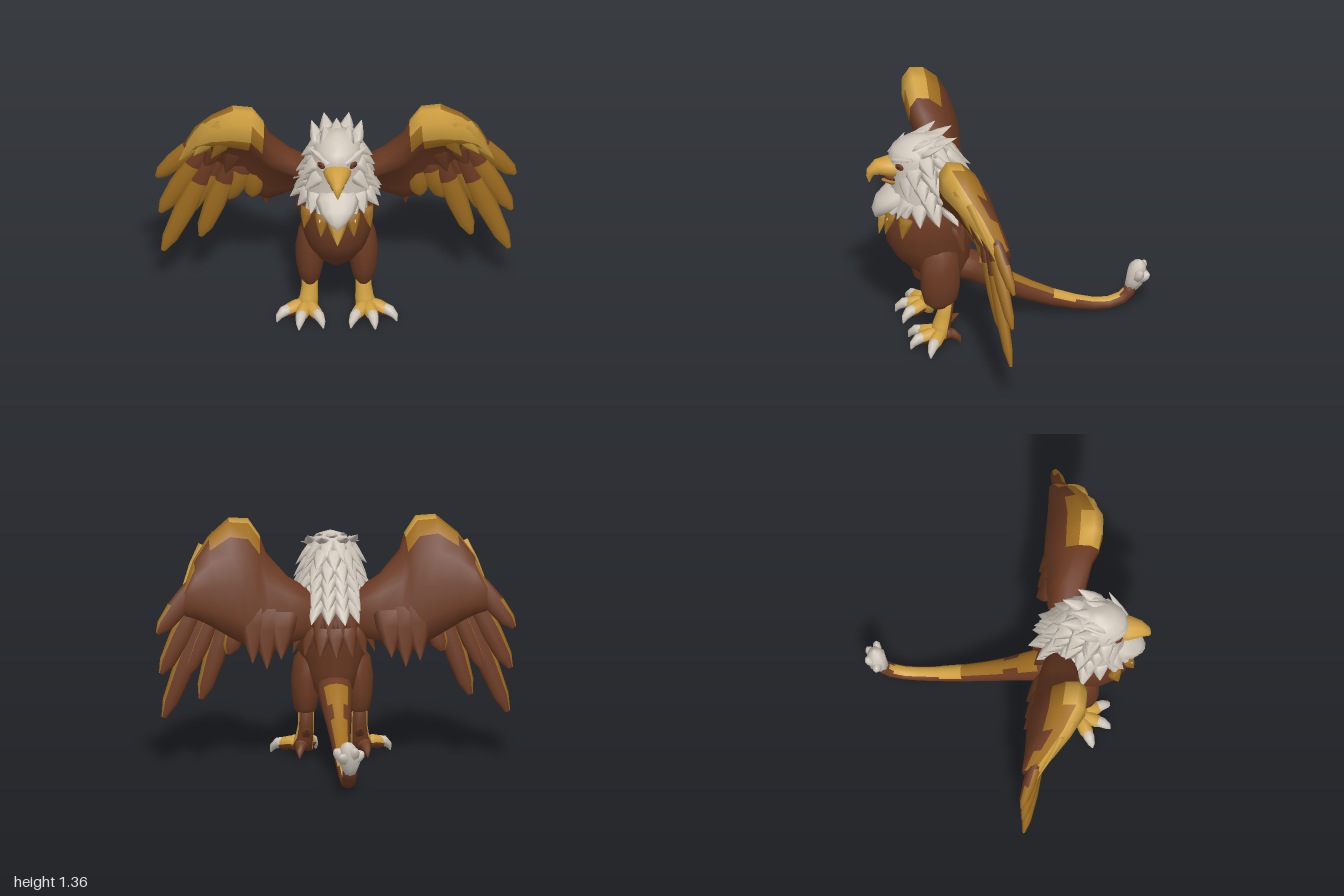
import * as THREE from 'three';

const mat = (name, color) => Object.assign(new THREE.MeshStandardMaterial({ color }), { name });
const V = (x, y, z) => new THREE.Vector3(x, y, z);
const BROWN = 0, GOLD = 1, OCHRE = 2, WHITE = 3, DARK = 4;
// Feather outlines: [position along length, relative width]
const SPIKE = [[0, 1], [0.35, 0.85], [0.7, 0.45], [1, 0.03]];
const BLADE = [[0, 0.6], [0.3, 0.95], [0.6, 1], [0.87, 0.75], [1, 0.25]];

export function createModel() {
  const mats = [mat('brown', 0x6b3a22), mat('gold', 0xd0a040), mat('ochre', 0xa06e20),
    mat('white', 0xcfc6ba), mat('darkBrown', 0x3a1d12)];
  const root = new THREE.Group();
  root.name = 'griffin';
  const group = (name) => {
    const g = new THREE.Group();
    g.name = name;
    root.add(g);
    return g;
  };

  // Closed skin over a row of rings; pick(normal, centre, i, j) chooses the colour of each quad
  function loft(parent, name, rings, pick) {
    const n = rings[0].length, m = rings.length, pts = rings.flat(), faces = [];
    const mean = (r) => r.reduce((s, p) => s.add(p), V(0, 0, 0)).divideScalar(n);
    const c0 = pts.push(mean(rings[0])) - 1, c1 = pts.push(mean(rings[m - 1])) - 1;
    for (let j = 0; j < n; j++) {
      const k = (j + 1) % n, e = (m - 1) * n;
      faces.push({ i: 0, j, t: [[c0, k, j]] }, { i: m - 2, j, t: [[c1, e + j, e + k]] });
      for (let i = 0; i < m - 1; i++) {
        const a = i * n + j, b = i * n + k;
        faces.push({ i, j, t: [[a, b, b + n], [a, b + n, a + n]] });
      }
    }
    let vol = 0;
    for (const f of faces) for (const [a, b, c] of f.t)
      vol += pts[a].clone().sub(pts[c0]).dot(V(0, 0, 0).crossVectors(pts[b].clone().sub(pts[c0]), pts[c].clone().sub(pts[c0])));
    const lists = mats.map(() => []);
    for (const f of faces) {
      const nrm = V(0, 0, 0), mid = V(0, 0, 0);
      for (const t of f.t) {
        if (vol < 0) t.reverse();
        const [a, b, c] = t.map((q) => pts[q]);
        nrm.add(V(0, 0, 0).crossVectors(b.clone().sub(a), c.clone().sub(a)));
        mid.add(a).add(b).add(c);
      }
      const id = typeof pick === 'number' ? pick : pick(nrm.normalize(), mid.divideScalar(3 * f.t.length), f.i, f.j);
      lists[id].push(...f.t.flat());
    }
    const geo = new THREE.BufferGeometry().setFromPoints(pts);
    geo.setIndex(lists.flat());
    let start = 0;
    const used = [];
    lists.forEach((l, id) => {
      if (!l.length) return;
      geo.addGroup(start, l.length, used.length);
      used.push(mats[id]);
      start += l.length;
    });
    geo.computeVertexNormals();
    const mesh = new THREE.Mesh(geo, used.length > 1 ? used : used[0]);
    mesh.name = name;
    parent.add(mesh);
  }

  // Loft along a path of [x, y, z, sideRadius, otherRadius]
  function limb(parent, name, path, pick, side = V(1, 0, 0), n = 10) {
    const P = path.map((p) => V(p[0], p[1], p[2]));
    const rings = path.map((p, i) => {
      const t = P[Math.min(i + 1, P.length - 1)].clone().sub(P[Math.max(i - 1, 0)]).normalize();
      const a = side.clone().addScaledVector(t, -side.dot(t)).normalize();
      const b = t.clone().cross(a);
      return Array.from({ length: n }, (_, j) => {
        const w = (j / n) * Math.PI * 2;
        return P[i].clone().addScaledVector(a, Math.cos(w) * p[3]).addScaledVector(b, Math.sin(w) * (p[4] ?? p[3]));
      });
    });
    loft(parent, name, rings, pick);
  }

  // Feather from base to tip, flattened along the given normal
  function feather(parent, name, outline, base, tip, w, pick, normal = V(0, 0, 1), thick = 0.4, n = 6) {
    const d = tip.clone().sub(base);
    const side = d.clone().cross(normal).normalize();
    const path = outline.map(([t, k]) => {
      const p = base.clone().addScaledVector(d, t);
      return [p.x, p.y, p.z, w * k, w * k * thick];
    });
    limb(parent, name, path, pick, side, n);
  }

  // Profiles are [y, zCentre, xRadius, zRadius]
  const ovals = (prof, n) => prof.map(([y, z, rx, rz]) => Array.from({ length: n }, (_, j) => {
    const a = (j / n) * Math.PI * 2;
    return V(rx * Math.sin(a), y, z + rz * Math.cos(a));
  }));
  const onProfile = (prof, y, a) => {
    let i = 0;
    while (i < prof.length - 2 && prof[i + 1][0] < y) i++;
    const t = (y - prof[i][0]) / (prof[i + 1][0] - prof[i][0]);
    const [, z, rx, rz] = prof[i].map((v, k) => v + (prof[i + 1][k] - v) * t);
    return V(rx * Math.sin(a), y, z + rz * Math.cos(a));
  };

  // Torso
  const torso = [[0.32, 0.34, 0.05, 0.07], [0.4, 0.37, 0.12, 0.15], [0.5, 0.42, 0.165, 0.21], [0.6, 0.44, 0.195, 0.245],
    [0.7, 0.44, 0.21, 0.255], [0.8, 0.435, 0.215, 0.25], [0.9, 0.44, 0.18, 0.21], [1.0, 0.45, 0.13, 0.15]];
  loft(root, 'torso', ovals(torso, 16), BROWN);

  // Brown feathers over the upper back
  const backFeathers = group('backFeathers');
  [[0.87, 8], [0.76, 7]].forEach(([y, count]) => {
    for (let k = 0; k < count; k++) {
      const a = Math.PI + ((k + 0.5) / count - 0.5) * 2.5;
      const p = onProfile(torso, y, a), out = V(Math.sin(a), 0, Math.cos(a));
      feather(backFeathers, 'backFeather', SPIKE, p.clone().addScaledVector(out, -0.01),
        p.clone().addScaledVector(out, 0.05).add(V(0, -0.15, 0)), 0.055, BROWN, out);
    }
  });

  // Gold feathers under the ruff
  const bibGold = group('chestFeathers');
  [[0, 0.65, 0.06], [0.08, 0.7, 0.045], [-0.08, 0.7, 0.045], [0.16, 0.71, 0.045], [-0.16, 0.71, 0.045]].forEach(([x, y, w]) => {
    const a = Math.asin(x / 0.215), out = V(Math.sin(a), 0, Math.cos(a)), p = onProfile(torso, 0.83, a);
    const tip = onProfile(torso, y, a).addScaledVector(out, 0.04);
    feather(bibGold, 'chestFeather', SPIKE, p.addScaledVector(out, 0.025), tip, w, x ? OCHRE : GOLD, out, 0.5);
  });

  // Head and ruff
  const head = group('head');
  const skull = [[0.84, 0.44, 0.185, 0.22], [0.9, 0.44, 0.195, 0.23], [1.0, 0.45, 0.175, 0.205], [1.08, 0.475, 0.15, 0.2],
    [1.15, 0.49, 0.14, 0.185], [1.2, 0.5, 0.12, 0.155], [1.24, 0.5, 0.08, 0.1], [1.262, 0.5, 0.02, 0.03]];
  loft(head, 'skull', ovals(skull, 18), WHITE);
  limb(head, 'throatRuff', [[0, 0.95, 0.56, 0.1, 0.06], [0, 0.89, 0.65, 0.12, 0.06], [0, 0.845, 0.705, 0.095, 0.058], [0, 0.8, 0.735, 0.05, 0.04], [0, 0.765, 0.745, 0.01, 0.01]], WHITE);
  for (const [x, y, z] of [[0.1, 0.79, 0.71], [-0.1, 0.79, 0.71], [0.15, 0.82, 0.66], [-0.15, 0.82, 0.66]])
    feather(head, 'throatFeather', SPIKE, V(x * 0.8, 0.92, 0.6), V(x, y, z), 0.05, WHITE, V(x * 2, 0, 0.8).normalize(), 0.5);
  const rows = [[0.9, 17, 0.13], [0.97, 16, 0.13], [1.04, 15, 0.12], [1.11, 14, 0.12], [1.17, 12, 0.11], [1.215, 10, 0.1]];
  rows.forEach(([y, count, len], r) => {
    for (let k = 0; k < count; k++) {
      const a = ((k + (r % 2) * 0.5) / count) * Math.PI * 2;
      if (y > 0.95 && Math.cos(a) > 0.5) continue;
      const out = V(Math.sin(a), 0, Math.cos(a)), p = onProfile(skull, y, a);
      const tip = p.clone().addScaledVector(out, 0.052 + 0.016 * (k % 2)).add(V(0, -len * 0.8, -0.03));
      feather(head, 'ruffFeather', SPIKE, p.addScaledVector(out, -0.015), tip, 0.052, WHITE, out, 0.5);
    }
  });
  for (const [x, z] of [[0.05, 0.55], [-0.05, 0.55], [0, 0.48], [0.1, 0.5], [-0.1, 0.5], [0.05, 0.42], [-0.05, 0.42]])
    feather(head, 'crownFeather', SPIKE, V(x, 1.235 - Math.abs(x) * 0.4, z), V(x * 1.4, 1.262, z - 0.12), 0.045, WHITE, V(0, 1, 0), 0.5);

  // Beak, mouth, eyes and brows
  limb(head, 'upperBeak', [[0, 1.085, 0.6, 0.085, 0.068], [0, 1.085, 0.68, 0.074, 0.056], [0, 1.085, 0.74, 0.052, 0.046],
    [0, 1.06, 0.776, 0.03, 0.029], [0, 1.03, 0.785, 0.018, 0.018], [0, 0.995, 0.785, 0.004]], GOLD);
  limb(head, 'mouth', [[0, 1.025, 0.6, 0.08, 0.03], [0, 1.02, 0.67, 0.045, 0.018], [0, 1.018, 0.695, 0.02, 0.01]], BROWN);
  limb(head, 'lowerBeak', [[0, 0.995, 0.6, 0.055, 0.025], [0, 0.99, 0.67, 0.035, 0.018], [0, 1.0, 0.715, 0.008, 0.005]], OCHRE);
  for (const s of [1, -1]) {
    const eyeball = (name, r, m, x, y, z) => {
      const e = new THREE.Mesh(new THREE.SphereGeometry(r, 10, 8), mats[m]);
      e.position.set(x * s, y, z);
      e.rotation.y = 0.75 * s;
      e.scale.set(1.1, 0.8, 0.35);
      e.name = name;
      head.add(e);
    };
    eyeball('eyePatch', 0.026, BROWN, 0.09, 1.122, 0.632);
    eyeball('pupil', 0.008, DARK, 0.096, 1.122, 0.639);
    feather(head, 'brow', SPIKE, V(0.04 * s, 1.148, 0.65), V(0.165 * s, 1.195, 0.55), 0.03, WHITE, V(0, 1, 0.3).normalize(), 0.5);
    feather(head, 'cheekFeather', SPIKE, V(0.1 * s, 1.05, 0.6), V(0.18 * s, 0.94, 0.6), 0.05, WHITE, V(0.7 * s, 0, 0.7), 0.4);
  }

  // Tail with a gold upper stripe, and its tuft
  limb(root, 'tail', [[0, 0.44, 0.33, 0.1, 0.09], [0, 0.385, 0.2, 0.095, 0.085], [0, 0.31, 0.09, 0.08, 0.075], [0, 0.25, 0, 0.066, 0.065],
    [0, 0.185, -0.12, 0.055, 0.058], [0, 0.125, -0.25, 0.048, 0.05], [0, 0.08, -0.38, 0.043, 0.042], [0, 0.053, -0.49, 0.04, 0.036],
    [0, 0.048, -0.58, 0.04, 0.034], [0, 0.07, -0.655, 0.04, 0.036], [0, 0.11, -0.695, 0.04, 0.036], [0, 0.16, -0.715, 0.04, 0.035]],
  (n, c) => (n.y > (c.z < -0.15 && c.z > -0.35 ? 0.5 : 0.66) && c.z < 0.13 && c.z > -0.67 ? (c.z < -0.25 ? GOLD : OCHRE) : BROWN), V(1, 0, 0), 16);
  const tuft = group('tailTuft');
  limb(tuft, 'tuftCore', [[0, 0.135, -0.705, 0.038], [0, 0.18, -0.73, 0.055, 0.052], [0.01, 0.25, -0.742, 0.058, 0.054], [0.02, 0.295, -0.755, 0.035, 0.035], [0.02, 0.31, -0.76, 0.008]], WHITE, V(1, 0, 0), 8);
  for (const [x, y, z] of [[0.09, 0.27, -0.75], [-0.075, 0.25, -0.735], [0.06, 0.24, -0.8], [-0.03, 0.28, -0.795]])
    feather(tuft, 'tuftLock', BLADE, V(0.01, 0.19, -0.73), V(x, y, z), 0.035, WHITE, V(0, 0, 1), 0.8);

  for (const s of [1, -1]) {
    const label = s > 0 ? 'left' : 'right';
    const S = (p) => p.map((q) => [q[0] * s, ...q.slice(1)]);

    // Leg, foot, toes and claws
    const leg = group(label + 'Leg');
    limb(leg, 'thigh', S([[0.11, 0.63, 0.41, 0.05, 0.07], [0.135, 0.55, 0.41, 0.08, 0.105], [0.147, 0.45, 0.41, 0.085, 0.115],
      [0.15, 0.35, 0.41, 0.077, 0.112], [0.15, 0.27, 0.405, 0.062, 0.095], [0.15, 0.235, 0.395, 0.04, 0.06]]), BROWN, V(1, 0, 0), 12);
    limb(leg, 'shin', S([[0.15, 0.27, 0.375, 0.045], [0.15, 0.18, 0.385, 0.045], [0.155, 0.11, 0.405, 0.052], [0.17, 0.05, 0.42, 0.065, 0.05]]),
      (n) => (n.z > -0.4 && n.y > -0.4 ? GOLD : BROWN), V(1, 0, 0), 12);
    feather(leg, 'heelSpur', SPIKE, V(0.15 * s, 0.13, 0.38), V(0.15 * s, 0.17, 0.305), 0.035, BROWN, V(0, 1, 0), 0.9);
    const toes = [[0.105, 0.525], [0.2, 0.535], [0.285, 0.475], [0.18, 0.36]];
    toes.forEach(([x, z], k) => {
      const dx = x - 0.17, dz = z - 0.41, l = Math.hypot(dx, dz), ux = dx / l, uz = dz / l, side = V(uz * s, 0, -ux);
      limb(leg, 'toe', S([[0.17, 0.065, 0.41, 0.042, 0.042], [0.17 + dx * 0.5, 0.07, 0.41 + dz * 0.5, 0.04, 0.04],
        [0.17 + dx * 0.85, 0.06, 0.41 + dz * 0.85, 0.038, 0.038], [x, 0.05, z, 0.028, 0.028]]), k < 3 ? (n) => (n.y > 0.05 ? GOLD : BROWN) : BROWN, side, 8);
      limb(leg, 'claw', S([[x - ux * 0.03, 0.067, z - uz * 0.03, 0.033], [x + ux * 0.015, 0.062, z + uz * 0.015, 0.03],
        [x + ux * 0.045, 0.038, z + uz * 0.045, 0.02], [x + ux * 0.058, 0.006, z + uz * 0.058, 0.004]]), k < 3 ? WHITE : BROWN, side, 8);
    });

    // Wing blade: each station is leading point, trailing point, half thickness
    const wing = group(label + 'Wing');
    const stations = [[0.1, 0.94, 0.36, 0.1, 0.72, 0.26, 0.08], [0.26, 1.04, 0.37, 0.25, 0.69, 0.2, 0.085], [0.375, 1.17, 0.4, 0.38, 0.62, 0.17, 0.09],
      [0.405, 1.26, 0.43, 0.46, 0.65, 0.165, 0.1], [0.47, 1.355, 0.44, 0.53, 0.7, 0.165, 0.11], [0.58, 1.362, 0.435, 0.6, 0.74, 0.165, 0.11],
      [0.7, 1.27, 0.375, 0.7, 0.8, 0.165, 0.085], [0.79, 1.15, 0.3, 0.78, 0.84, 0.165, 0.065], [0.85, 1.0, 0.23, 0.85, 0.86, 0.17, 0.045]];
    const ts = [0, 0.06, 0.2, 0.36, 0.6, 0.85, 1];
    const frontH = [0, 0.6, 1, 0.75, 0.4, 0.2, 0.1], backH = [0, 0.6, 1, 1.1, 1, 0.5, 0.1];
    const rings = stations.map((q) => {
      const L = V(q[0] * s, q[1], q[2]), T = V(q[3] * s, q[4], q[5]);
      const N = T.clone().sub(L).cross(V(1, 0, 0)).normalize();
      return Array.from({ length: 12 }, (_, j) => {
        const k = j <= 6 ? j : 12 - j;
        return L.clone().lerp(T, ts[k]).addScaledVector(N, q[6] * (j <= 6 ? frontH[k] : -backH[k]));
      });
    });
    loft(wing, 'wingBlade', rings, (n, c, i, j) => {
      const front = j < 6, k = front ? j : 11 - j;
      if (i < 3) return BROWN;
      if (front) return k < (i === 3 ? 1 : 2) ? GOLD : k === 1 || (k === 2 && i > 3) || (k === 3 && i > 5) ? OCHRE : BROWN;
      if (k === 0) return i < 5 ? GOLD : OCHRE;
      return (k === 1 && i < 6) || (k < 3 && n.x * s > 0.6) ? OCHRE : BROWN;
    });
    // Long flight feathers, gold in front beyond the brown base
    const twoTone = (n, c, i) => (i > 0 && (n.z > -0.15 || n.x * s > 0.6) ? OCHRE : BROWN);
    const quills = [[0.74, 1.08, 0.25, 1.0, 0.76, 0.165, 0.058], [0.72, 1.03, 0.25, 0.98, 0.53, 0.17, 0.06], [0.68, 0.98, 0.25, 0.965, 0.28, 0.175, 0.06],
      [0.57, 0.95, 0.26, 0.755, 0.38, 0.185, 0.06], [0.64, 0.95, 0.24, 0.83, 0.52, 0.18, 0.05], [0.5, 0.95, 0.27, 0.6, 0.63, 0.19, 0.065],
      [0.44, 0.93, 0.27, 0.47, 0.65, 0.2, 0.06]];
    for (const q of quills) feather(wing, 'flightFeather', BLADE, V(q[0] * s, q[1], q[2]), V(q[3] * s, q[4], q[5]), q[6], twoTone, V(0, 0, 1), 0.62, 8);
    // Brown inner feathers
    for (const [x, y, tx, ty] of [[0.46, 0.9, 0.47, 0.59], [0.39, 0.88, 0.39, 0.555], [0.3, 0.86, 0.31, 0.61]])
      feather(wing, 'innerFeather', SPIKE, V(x * s, y, 0.21), V(tx * s, ty, 0.13), 0.09, BROWN, V(0, 0, 1), 0.4);
    // Short covert feathers along the outer edge and across the front
    for (const [x, y, z, tx, ty, tz, c] of [[0.62, 1.25, 0.42, 0.8, 0.98, 0.3, GOLD], [0.7, 1.2, 0.36, 0.88, 0.91, 0.24, GOLD], [0.58, 1.22, 0.43, 0.7, 0.99, 0.34, OCHRE],
      [0.45, 1.1, 0.36, 0.5, 0.86, 0.27, BROWN], [0.56, 1.08, 0.35, 0.62, 0.84, 0.27, BROWN], [0.66, 1.06, 0.31, 0.74, 0.86, 0.25, BROWN], [0.36, 1.02, 0.33, 0.37, 0.78, 0.24, BROWN]])
      feather(wing, 'covertFeather', SPIKE, V(x * s, y, z), V(tx * s, ty, tz), 0.065, c, V(0, 0, 1), 0.4);
  }
  return root;
}
